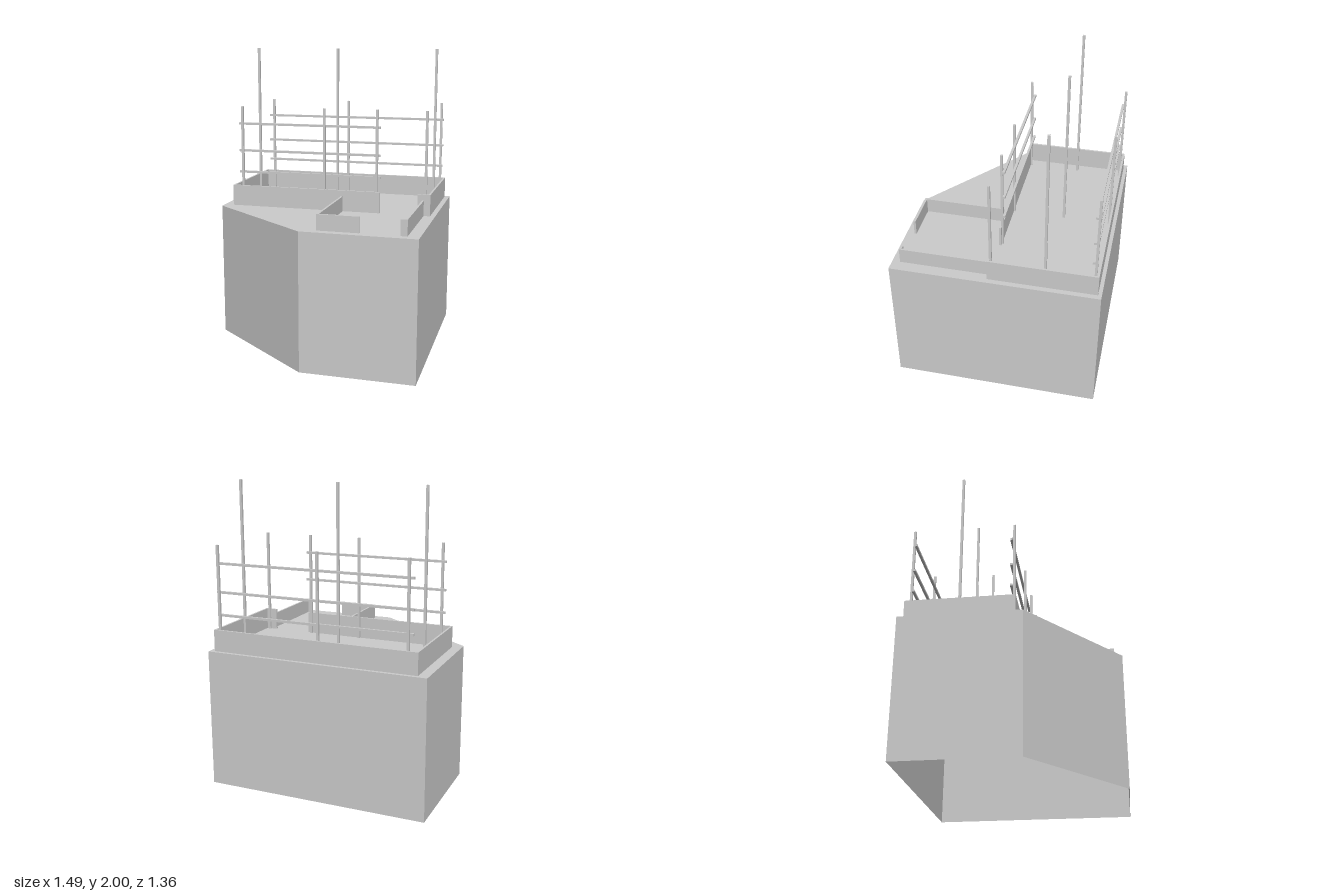
import * as THREE from 'three';

const DECK = 0.917;

export function createModel() {
  const model = new THREE.Group();
  const grey = new THREE.MeshStandardMaterial({ color: 0xcccccc, flatShading: true });
  const sheet = new THREE.MeshStandardMaterial({ color: 0xcccccc, flatShading: true, side: THREE.DoubleSide });

  const add = (name, geometry, material = grey, parent = model) => {
    const mesh = new THREE.Mesh(geometry, material);
    mesh.name = name;
    parent.add(mesh);
    return mesh;
  };
  const group = (name) => {
    const g = new THREE.Group();
    g.name = name;
    model.add(g);
    return g;
  };
  // Plan outlines are [x, z]; z is negated so the rotated shape lies flat facing up
  const planShape = (pts) => new THREE.Shape(pts.map(([x, z]) => new THREE.Vector2(x, -z)));
  const planWall = (name, pts, top) => {
    const g = new THREE.ExtrudeGeometry(planShape(pts), { depth: top - DECK, bevelEnabled: false });
    g.rotateX(-Math.PI / 2).translate(0, DECK, 0);
    add(name, g);
  };

  // Hollow five-sided base, open underneath
  const plan = [[-0.745, 0.097], [0, 0.68], [0.745, 0.68], [0.745, -0.68], [-0.745, -0.68]];
  const base = group('base');
  plan.forEach(([x0, z0], i) => {
    const [x1, z1] = plan[(i + 1) % plan.length];
    const wall = new THREE.PlaneGeometry(Math.hypot(x1 - x0, z1 - z0), DECK);
    wall.rotateY(Math.atan2(z0 - z1, x1 - x0));
    wall.translate((x0 + x1) / 2, DECK / 2, (z0 + z1) / 2);
    add('baseWall', wall, sheet, base);
  });
  const deck = new THREE.ShapeGeometry(planShape(plan));
  deck.rotateX(-Math.PI / 2).translate(0, DECK, 0);
  add('deck', deck, sheet, base);

  // Parapet around the rear terrace, with a gap at the entrance
  planWall('parapet', [
    [0.37, 0.045], [0.37, 0.03], [-0.667, 0.03], [-0.667, -0.642], [0.698, -0.642], [0.698, 0.03],
    [0.625, 0.03], [0.625, 0.045], [0.711, 0.045], [0.711, -0.656], [-0.68, -0.656], [-0.68, 0.045],
  ], 1.06);

  // Lower walls either side of the entrance walk
  planWall('entranceWallRight', [
    [0.101, 0.045], [0.101, 0.628], [0.37, 0.628], [0.37, 0.613], [0.115, 0.613], [0.115, 0.045],
  ], 1.02);
  planWall('entranceWallLeft', [
    [0.655, 0.045], [0.655, 0.613], [0.625, 0.613], [0.625, 0.628], [0.668, 0.628], [0.668, 0.045],
  ], 1.02);

  // Posts: tall middle row, shorter front and back rows
  const columns = [-0.608, -0.02, 0.676];
  const rows = [
    { name: 'tallPost', z: -0.32, top: 2, xs: columns },
    { name: 'backPost', z: -0.632, top: 1.61, xs: columns },
    { name: 'frontPost', z: 0.027, top: 1.61, xs: [...columns, 0.344] },
  ];
  const posts = group('posts');
  for (const { name, z, top, xs } of rows) {
    for (const x of xs) {
      add(name, new THREE.BoxGeometry(0.016, top - DECK, 0.016), grey, posts)
        .position.set(x, (top + DECK) / 2, z);
    }
  }

  // Three horizontal rails along each railing
  const rails = group('rails');
  for (const y of [1.153, 1.303, 1.49]) {
    for (const [name, x0, x1, z] of [['backRail', -0.638, 0.695, -0.616], ['frontRail', -0.638, 0.365, 0.011]]) {
      add(name, new THREE.BoxGeometry(x1 - x0, 0.015, 0.016), grey, rails)
        .position.set((x0 + x1) / 2, y, z);
    }
  }
  return model;
}
